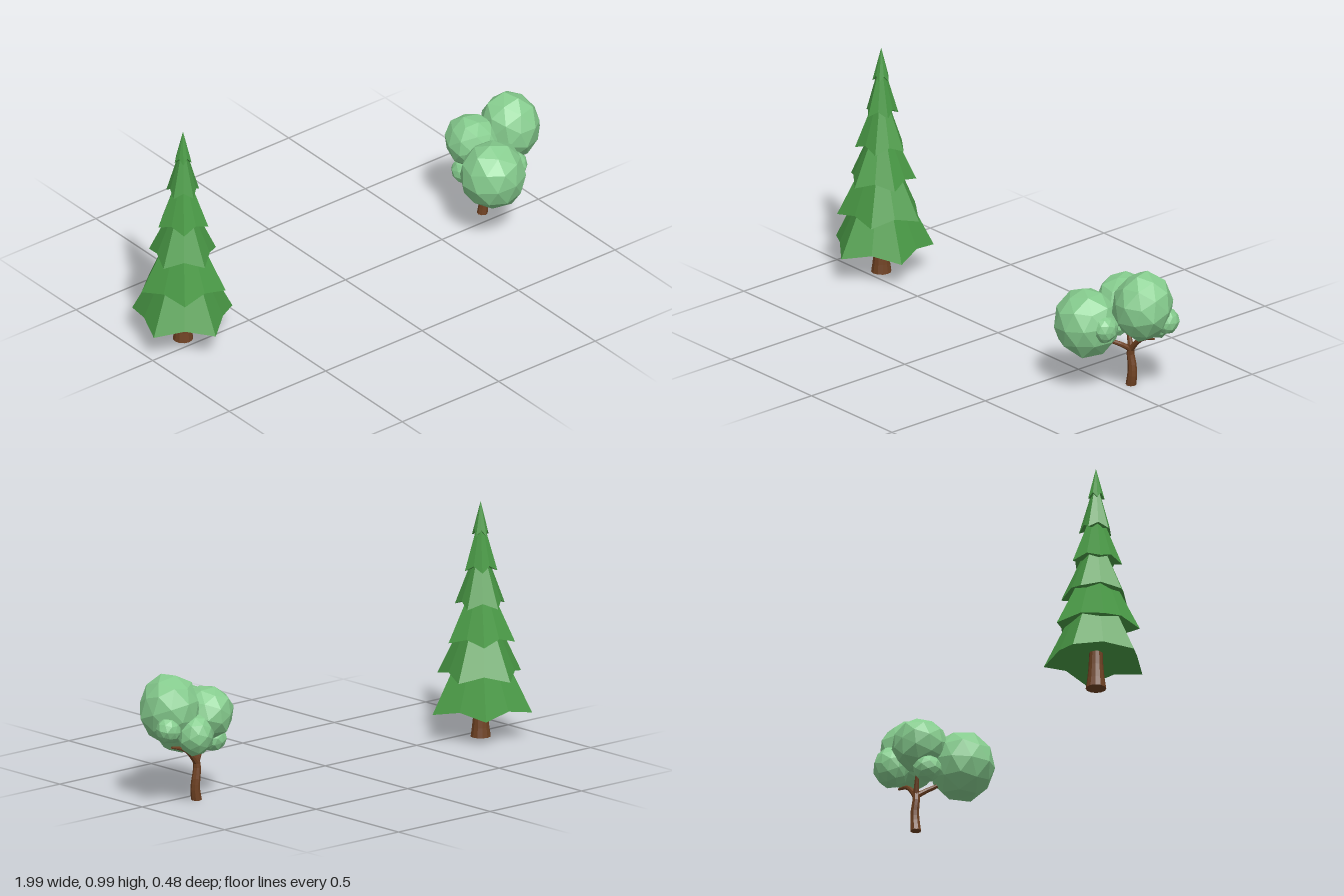
import * as THREE from 'three';

const mat = (color) => new THREE.MeshStandardMaterial({ color, flatShading: true });

function addMesh(parent, name, geometry, material) {
  const mesh = new THREE.Mesh(geometry, material);
  mesh.name = name;
  parent.add(mesh);
  return mesh;
}

// Pleated five-pointed cone: odd rim corners are pulled in and lifted
function starTier(radius, height) {
  const geo = new THREE.ConeGeometry(radius, height, 10, 1);
  const p = geo.attributes.position;
  for (let i = 0; i < p.count; i++) {
    if (p.getY(i) > 0) continue;
    const x = p.getX(i), z = p.getZ(i), r = Math.hypot(x, z);
    const corner = Math.round(Math.atan2(x, z) / (Math.PI / 5));
    let s = 1, lift = 0;
    if (r < radius * 0.1) lift = radius * 0.25;
    else if (corner % 2 !== 0) { s = 0.79; lift = 0.024; }
    p.setXYZ(i, x * s, p.getY(i) + lift, z * s);
  }
  geo.translate(0, height / 2, 0);
  return geo;
}

// Tube along a curve that narrows from r0 to r1
function limb(points, r0, r1, segments) {
  const sides = 8;
  const curve = new THREE.CatmullRomCurve3(points.map((q) => new THREE.Vector3(...q)));
  const geo = new THREE.TubeGeometry(curve, segments, 1, sides, false);
  const p = geo.attributes.position, v = new THREE.Vector3();
  for (let i = 0; i < p.count; i++) {
    const t = Math.floor(i / (sides + 1)) / segments;
    const c = curve.getPointAt(t);
    v.fromBufferAttribute(p, i).sub(c).multiplyScalar(r0 + (r1 - r0) * t).add(c);
    p.setXYZ(i, v.x, Math.max(v.y, 0), v.z);
  }
  return geo;
}

// Faceted leaf clump with a slightly uneven surface
function clump(seed) {
  const geo = new THREE.IcosahedronGeometry(1, 1);
  const p = geo.attributes.position, v = new THREE.Vector3();
  for (let i = 0; i < p.count; i++) {
    v.fromBufferAttribute(p, i);
    const k = 1 + 0.05 * Math.sin(5 * v.x + seed) * Math.cos(4 * v.y + 3 * v.z + 2 * seed);
    p.setXYZ(i, v.x * k, v.y * k, v.z * k);
  }
  geo.rotateX(seed * 0.9);
  geo.rotateY(seed * 1.7);
  return geo;
}

export function createModel() {
  const model = new THREE.Group();
  model.name = 'trees';
  const bark = mat(0x6e4122);
  bark.side = THREE.DoubleSide;
  const needles = mat(0x4a9a46);
  const leaves = mat(0x86cc8e);

  // Conifer
  const conifer = new THREE.Group();
  conifer.name = 'conifer';
  conifer.position.set(-0.795, 0, -0.06);
  model.add(conifer);
  const profile = [[0, 0], [0.042, 0], [0.036, 0.04], [0.03, 0.1], [0.026, 0.2], [0, 0.2]];
  addMesh(conifer, 'coniferTrunk',
    new THREE.LatheGeometry(profile.map(([x, y]) => new THREE.Vector2(x, y)), 12), bark);

  // Tiers: base height, tip radius, cone height; each is turned against the last
  [
    [0.11, 0.214, 0.43], [0.257, 0.18, 0.37], [0.403, 0.143, 0.31],
    [0.55, 0.107, 0.28], [0.698, 0.07, 0.24], [0.844, 0.036, 0.141],
  ].forEach(([y, r, h], i) => {
    const tier = addMesh(conifer, 'needleTier' + (i + 1), starTier(r, h), needles);
    tier.position.y = y;
    tier.rotation.y = (i % 2) * Math.PI;
  });

  // Leafy tree
  const leafy = new THREE.Group();
  leafy.name = 'leafyTree';
  model.add(leafy);
  addMesh(leafy, 'leafyTrunk', limb([[0.757, 0, -0.06], [0.764, 0.045, -0.06],
    [0.762, 0.09, -0.062], [0.754, 0.135, -0.06], [0.76, 0.18, -0.058]], 0.022, 0.014, 8), bark);
  const foot = addMesh(leafy, 'trunkFoot', new THREE.CircleGeometry(0.022, 8), bark);
  foot.rotation.x = Math.PI / 2;
  foot.position.set(0.757, 0.001, -0.06);
  addMesh(leafy, 'rightBranch', limb([[0.756, 0.155, -0.06], [0.785, 0.19, -0.062],
    [0.825, 0.222, -0.064], [0.895, 0.243, -0.064]], 0.014, 0.005, 6), bark);
  addMesh(leafy, 'leftBranch', limb([[0.757, 0.155, -0.06], [0.745, 0.18, -0.025],
    [0.72, 0.205, 0.02], [0.69, 0.24, 0.06]], 0.012, 0.006, 6), bark);
  addMesh(leafy, 'backBranch', limb([[0.756, 0.16, -0.06], [0.74, 0.21, -0.065],
    [0.71, 0.29, -0.07]], 0.012, 0.006, 5), bark);

  // Leaf clumps: centre, then radii
  [
    [0.677, 0.295, 0.108, 0.14, 0.145, 0.136],
    [0.872, 0.392, -0.025, 0.124, 0.146, 0.13],
    [0.71, 0.36, -0.065, 0.112, 0.112, 0.118],
    [0.83, 0.297, -0.135, 0.075, 0.085, 0.075],
    [0.665, 0.243, -0.055, 0.058, 0.055, 0.058],
    [0.94, 0.33, -0.092, 0.053, 0.055, 0.053],
    [0.79, 0.3, 0.11, 0.052, 0.058, 0.052],
  ].forEach(([x, y, z, rx, ry, rz], i) => {
    const leaf = addMesh(leafy, 'leafClump' + (i + 1), clump(i + 1), leaves);
    leaf.position.set(x, y, z);
    leaf.scale.set(rx, ry, rz);
  });

  return model;
}
